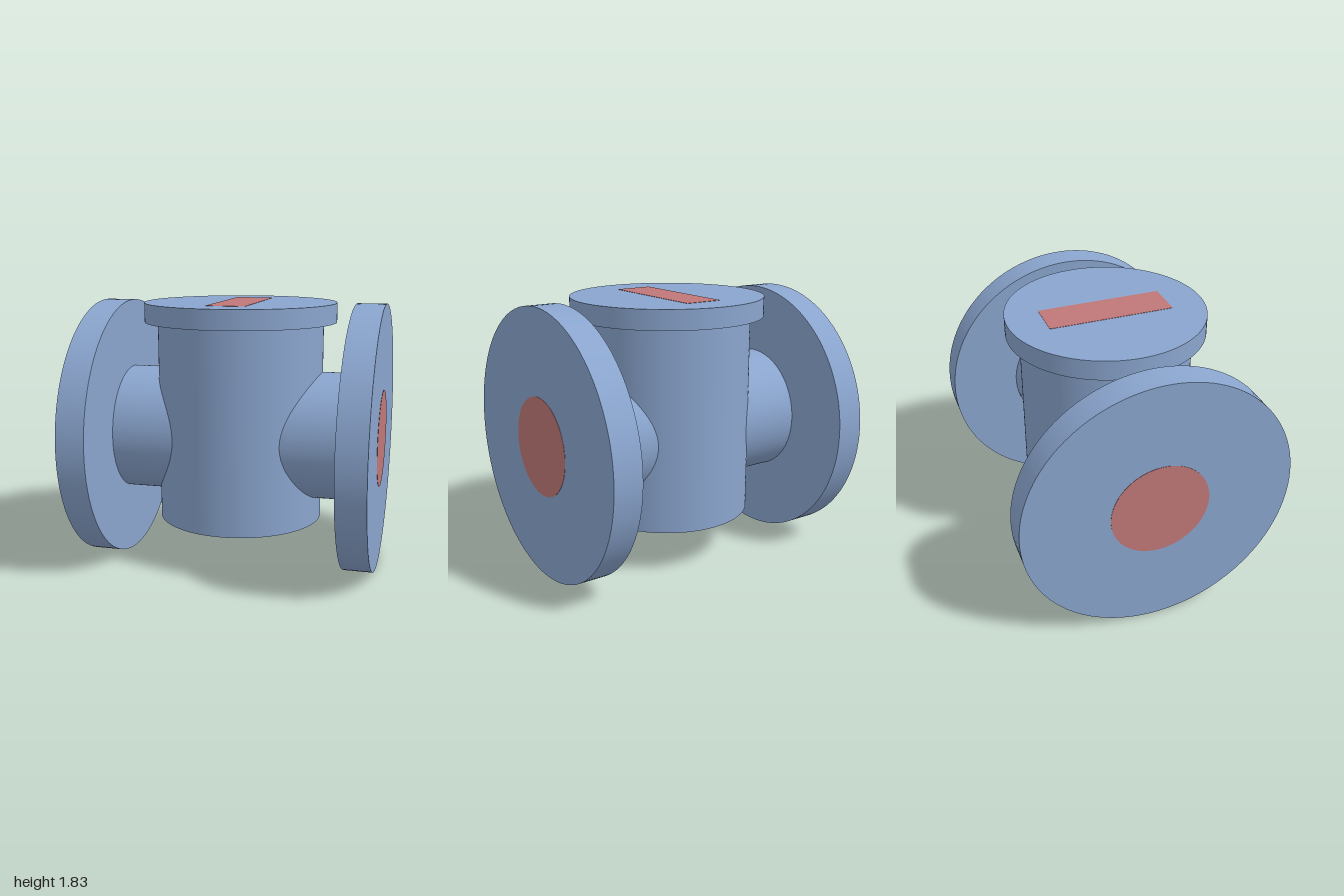
import * as THREE from 'three';

const SEG = 128;
const AXIS_Y = 0.915; // height of the pipe run
const TOP = 1.83;
const PLATE = 0.002; // thickness of painted inlays

export function createModel() {
  const model = new THREE.Group();
  model.name = 'flangedValveBody';
  const blue = new THREE.MeshStandardMaterial({ color: 0x8aa5ce });
  blue.name = 'steel blue';
  const red = new THREE.MeshStandardMaterial({ color: 0xc07878 });
  red.name = 'muted red';

  const add = (name, geometry, material) => {
    const mesh = new THREE.Mesh(geometry, material);
    mesh.name = name;
    model.add(mesh);
    return mesh;
  };
  // Upright cylinder between two heights
  const upright = (name, r, y0, y1) =>
    add(name, new THREE.CylinderGeometry(r, r, y1 - y0, SEG).translate(0, (y0 + y1) / 2, 0), blue);
  // Cylinder along x between two positions
  const along = (name, r, x0, x1, material) =>
    add(name, new THREE.CylinderGeometry(r, r, Math.abs(x1 - x0), SEG)
      .rotateZ(-Math.PI / 2).translate((x0 + x1) / 2, AXIS_Y, 0), material);

  // Central barrel and its cap
  upright('barrel', 0.575, 0.31, 1.7);
  upright('cap', 0.665, 1.695, TOP - PLATE);

  // Side pipes, end flanges and bore discs
  for (const [side, s] of [['left', 1], ['right', -1]]) {
    along(side + 'Pipe', 0.44, s * 0.3, s * 0.81, blue);
    along(side + 'Flange', 0.915, s * 0.8, s * (1 - PLATE), blue);
    along(side + 'BoreDisc', 0.333, s * 0.99, s, red);
  }

  // Marker bar on the cap, with slightly rounded corners
  const w = 0.132, h = 0.422, r = 0.012;
  const bar = new THREE.Shape();
  bar.absarc(w - r, h - r, r, 0, Math.PI / 2);
  bar.absarc(-w + r, h - r, r, Math.PI / 2, Math.PI);
  bar.absarc(-w + r, -h + r, r, Math.PI, Math.PI * 1.5);
  bar.absarc(w - r, -h + r, r, Math.PI * 1.5, Math.PI * 2);
  add('capMarker', new THREE.ExtrudeGeometry(bar, { depth: PLATE, bevelEnabled: false, curveSegments: 6 })
    .rotateX(-Math.PI / 2).translate(0, TOP - PLATE, 0), red);

  return model;
}
